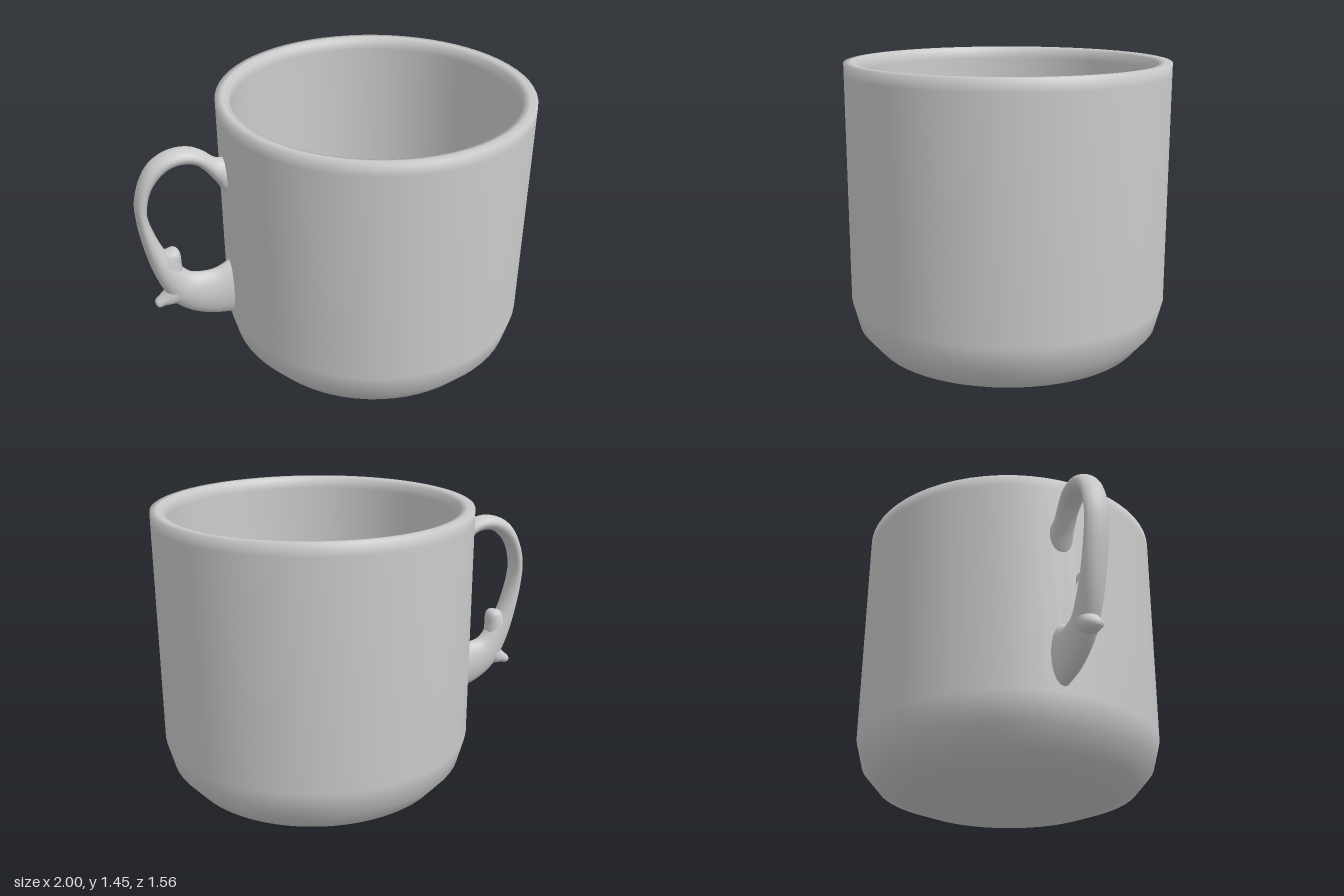
import * as THREE from 'three';

const material = new THREE.MeshStandardMaterial({ color: 0xcccccc });

// Lofts elliptical sections. Each row: [rightX, rightY, leftX, leftY, halfWidthZ],
// right and left being the two sides of the path as it runs in the xy plane.
function loft(name, rows, steps, sides = 20) {
  const right = new THREE.CatmullRomCurve3(rows.map(r => new THREE.Vector3(r[0], r[1], r[4])));
  const left = new THREE.CatmullRomCurve3(rows.map(r => new THREE.Vector3(r[2], r[3], r[4])));
  const positions = [], index = [];
  for (let i = 0; i <= steps; i++) {
    const a = right.getPoint(i / steps), b = left.getPoint(i / steps);
    for (let j = 0; j < sides; j++) {
      const t = (j / sides) * Math.PI * 2, c = Math.cos(t) / 2;
      positions.push(
        (a.x + b.x) / 2 + (a.x - b.x) * c,
        (a.y + b.y) / 2 + (a.y - b.y) * c,
        a.z * Math.sin(t));
      if (i < steps) {
        const k = (j + 1) % sides, p = i * sides, q = p + sides;
        index.push(p + j, q + j, p + k, p + k, q + j, q + k);
      }
    }
  }
  const geometry = new THREE.BufferGeometry();
  geometry.setAttribute('position', new THREE.Float32BufferAttribute(positions, 3));
  geometry.setIndex(index);
  geometry.computeVertexNormals();
  const mesh = new THREE.Mesh(geometry, material);
  mesh.name = name;
  return mesh;
}

export function createModel() {
  const model = new THREE.Group();
  model.name = 'mug';

  // Cup: outside from the base up, over the rim, then down the inside
  const profile = [
    [0, 0], [0.51, 0], [0.66, 0.055], [0.745, 0.155], [0.78, 0.29], [0.78, 1.39], [0.78, 1.447],
    [0.745, 1.45], [0.712, 1.44], [0.71, 1.39], [0.71, 0.33], [0.68, 0.21], [0.6, 0.12], [0.47, 0.07], [0, 0.07],
  ].map(([x, y]) => new THREE.Vector2(x, y));
  const cup = new THREE.Mesh(new THREE.LatheGeometry(profile, 64), material);
  cup.name = 'cup';
  cup.position.x = 0.22;
  model.add(cup);

  // Handle: flared at both joints, slim over the loop
  model.add(loft('handle', [
    [-0.52, 1.23, -0.52, 0.98, 0.06],
    [-0.56, 1.22, -0.56, 1.03, 0.06],
    [-0.595, 1.225, -0.60, 1.10, 0.055],
    [-0.65, 1.268, -0.655, 1.175, 0.055],
    [-0.70, 1.293, -0.70, 1.213, 0.058],
    [-0.77, 1.302, -0.765, 1.225, 0.06],
    [-0.85, 1.284, -0.82, 1.212, 0.06],
    [-0.92, 1.235, -0.875, 1.17, 0.06],
    [-0.97, 1.15, -0.917, 1.11, 0.06],
    [-0.998, 1.05, -0.94, 1.03, 0.06],
    [-1.0, 0.97, -0.944, 0.97, 0.06],
    [-0.984, 0.83, -0.92, 0.87, 0.06],
    [-0.945, 0.65, -0.87, 0.75, 0.06],
    [-0.9, 0.53, -0.815, 0.67, 0.06],
    [-0.85, 0.445, -0.76, 0.61, 0.06],
    [-0.77, 0.382, -0.70, 0.597, 0.06],
    [-0.67, 0.342, -0.63, 0.602, 0.06],
    [-0.56, 0.325, -0.56, 0.638, 0.062],
    [-0.52, 0.32, -0.52, 0.66, 0.065],
  ], 72));

  // Thumb rest on the inner side of the loop
  model.add(loft('thumbRest', [
    [-0.80, 0.64, -0.92, 0.72, 0.058],
    [-0.803, 0.69, -0.89, 0.757, 0.05],
    [-0.803, 0.72, -0.868, 0.763, 0.045],
    [-0.81, 0.75, -0.852, 0.767, 0.033],
    [-0.83, 0.768, -0.83, 0.768, 0],
  ], 16));

  // Spur at the lower outer corner
  model.add(loft('spur', [
    [-0.86, 0.58, -0.82, 0.45, 0.058],
    [-0.905, 0.522, -0.865, 0.45, 0.048],
    [-0.928, 0.50, -0.905, 0.448, 0.038],
    [-0.952, 0.478, -0.935, 0.44, 0.028],
    [-0.952, 0.455, -0.952, 0.455, 0],
  ], 16));

  return model;
}
